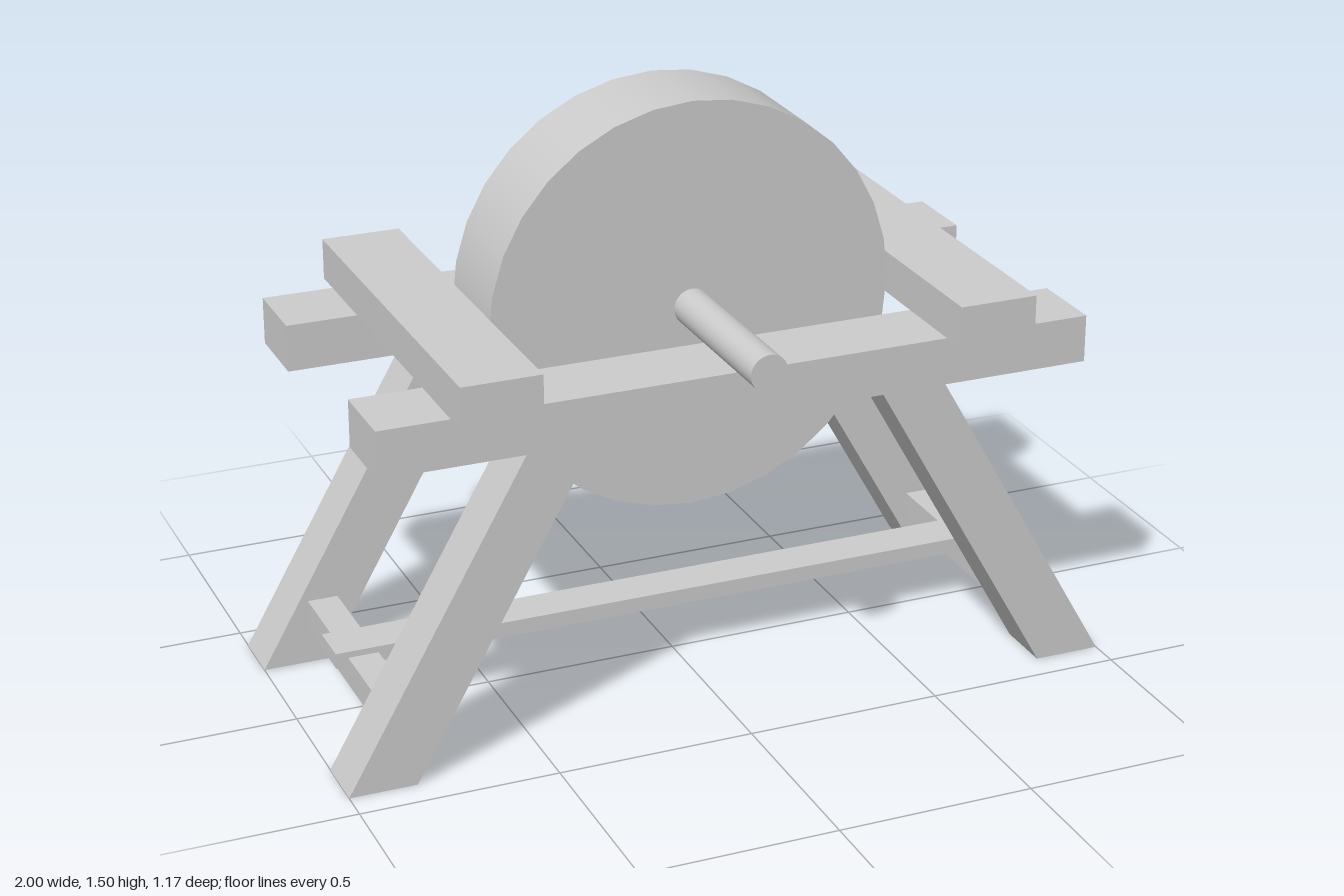
import * as THREE from 'three';

export function createModel() {
  const group = new THREE.Group();
  const material = new THREE.MeshStandardMaterial({ color: 0xcccccc });

  const add = (name, geometry, x = 0, y = 0, z = 0) => {
    const mesh = new THREE.Mesh(geometry, material);
    mesh.name = name;
    mesh.position.set(x, y, z);
    group.add(mesh);
    return mesh;
  };
  const box = (name, w, h, d, x, y, z) =>
    add(name, new THREE.BoxGeometry(w, h, d), x, y, z);

  // Round stone and its axle, lying along z
  const disc = (name, radius, length, segments) => {
    const geometry = new THREE.CylinderGeometry(radius, radius, length, segments);
    add(name, geometry.rotateX(Math.PI / 2), 0, 0.982, -0.002);
  };
  disc('grindingWheel', 0.522, 0.256, 32);
  disc('axle', 0.047, 1.166, 32);

  // Splayed leg: slanted outline with level ends
  const legGeometry = (side) => {
    const outline = [[1, 0], [0.535, 0.815], [0.368, 0.815], [0.83, 0]];
    const shape = new THREE.Shape(outline.map(([x, y]) => new THREE.Vector2(x * side, y)));
    return new THREE.ExtrudeGeometry(shape, { depth: 0.148, bevelEnabled: false });
  };

  for (const side of [1, -1]) {
    const sideName = side > 0 ? 'left' : 'right';
    const endName = side > 0 ? 'front' : 'back';

    // Long top rail
    box(endName + 'Rail', 1.82, 0.12, 0.2, 0, 0.875, side * 0.345 - 0.002);

    // Crossbeam resting on the rails
    box(sideName + 'Crossbeam', 0.2, 0.105, 1.03, side * 0.63, 0.9875, -0.002);

    // Low stretcher joining the front and back legs
    box(sideName + 'Stretcher', 0.078, 0.076, 0.58, side * 0.84, 0.133, -0.002);

    for (const z of [0.348, -0.352]) {
      const legName = (z > 0 ? 'front' : 'back') + (side > 0 ? 'Left' : 'Right') + 'Leg';
      add(legName, legGeometry(side), 0, 0, z - 0.074);
    }
  }

  // Flat tie bar laid over both stretchers
  box('tieBar', 1.82, 0.04, 0.115, 0, 0.167, -0.002);

  return group;
}
